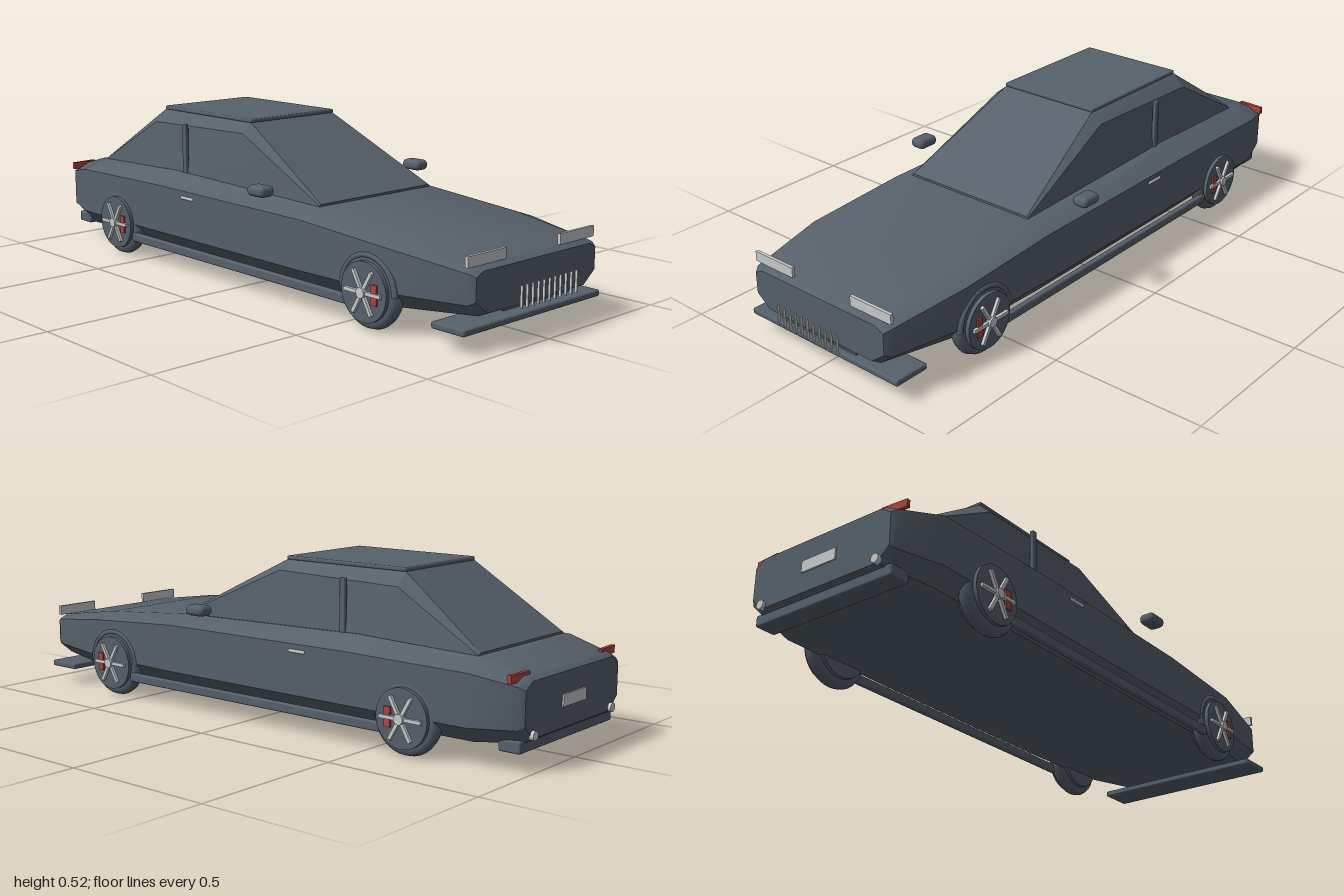
import * as THREE from 'three';
import { toCreasedNormals } from 'three/addons/utils/BufferGeometryUtils.js';
import { RoundedBoxGeometry } from 'three/addons/geometries/RoundedBoxGeometry.js';

const material = (name, color) => {
  const m = new THREE.MeshStandardMaterial({ color });
  m.name = name;
  return m;
};

// Skin along x through mirrored half sections; each section is [x, [y, z], ...] from top to bottom.
function loft(sections, crease) {
  const pos = [], idx = [];
  const n = (sections[0].length - 1) * 2;
  for (const [x, ...half] of sections) {
    for (const [y, z] of half) pos.push(x, y, z);
    for (const [y, z] of half.slice().reverse()) pos.push(x, y, -z);
  }
  const last = (sections.length - 1) * n;
  for (let i = 0; i < last; i += n) {
    for (let j = 0; j < n; j++) {
      const k = (j + 1) % n;
      idx.push(i + j, i + k, i + n + j, i + k, i + n + k, i + n + j);
    }
  }
  for (let j = 1; j < n - 1; j++) {
    idx.push(0, j + 1, j, last, last + j, last + j + 1);
  }
  const g = new THREE.BufferGeometry();
  g.setAttribute('position', new THREE.Float32BufferAttribute(pos, 3));
  g.setIndex(idx);
  return toCreasedNormals(g, crease);
}

export function createModel() {
  const car = new THREE.Group();
  car.name = 'car';
  const paint = material('slate paint', 0x56616b);
  const silver = material('silver', 0xc9cccd);
  const red = material('red', 0xb0443a);

  const add = (name, geometry, mat, x = 0, y = 0, z = 0, parent = car) => {
    const m = new THREE.Mesh(geometry, mat);
    m.name = name;
    m.position.set(x, y, z);
    parent.add(m);
    return m;
  };
  const box = (w, h, d) => new THREE.BoxGeometry(w, h, d);

  // Lower body
  // x, top y, top half width, shoulder y, widest half width, low y, bottom y, bottom half width
  const bodyRows = [
    [-0.99, 0.262, 0.225, 0.24, 0.262, 0.14, 0.1, 0.22],
    [-0.975, 0.272, 0.23, 0.25, 0.275, 0.13, 0.09, 0.235],
    [-0.84, 0.31, 0.24, 0.278, 0.32, 0.125, 0.077, 0.275],
    [-0.4, 0.325, 0.25, 0.285, 0.323, 0.125, 0.077, 0.28],
    [0.32, 0.309, 0.25, 0.28, 0.321, 0.125, 0.077, 0.28],
    [0.68, 0.28, 0.25, 0.258, 0.318, 0.13, 0.082, 0.275],
    [0.935, 0.243, 0.245, 0.228, 0.278, 0.14, 0.102, 0.23],
    [0.955, 0.233, 0.235, 0.218, 0.265, 0.15, 0.112, 0.215],
  ];
  add('body', loft(bodyRows.map(([x, ty, tz, sy, w, ly, by, bz]) =>
    [x, [ty, tz], [sy, w], [ly, w], [by, bz]]), 0.45), paint);

  // Cabin and roof panel
  add('cabin', loft([
    [-0.82, [0.318, 0.225], [0.312, 0.235], [0.295, 0.238]],
    [-0.53, [0.515, 0.18], [0.475, 0.222], [0.295, 0.245]],
    [-0.07, [0.515, 0.18], [0.485, 0.218], [0.295, 0.245]],
    [0.32, [0.316, 0.238], [0.312, 0.243], [0.29, 0.245]],
  ], 0.3), paint);
  add('roofPanel', new RoundedBoxGeometry(0.46, 0.013, 0.366, 2, 0.005), paint, -0.3, 0.521, 0);

  // Bumper plates
  add('frontSplitter', new RoundedBoxGeometry(0.12, 0.02, 0.61, 2, 0.006), paint, 0.89, 0.07, 0);
  add('rearBumper', new RoundedBoxGeometry(0.07, 0.036, 0.52, 2, 0.006), paint, -0.94, 0.078, 0);
  add('lowerIntake', box(0.008, 0.006, 0.31), paint, 0.955, 0.109, 0);

  // Grille bars standing ahead of the nose
  for (let i = -5; i <= 5; i++) {
    add('grilleBar', box(0.008, 0.065, 0.004), silver, 0.996, 0.148, i * 0.0245);
  }
  add('rearPlate', box(0.008, 0.036, 0.13), silver, -0.991, 0.18, 0);

  // Parts mirrored on both sides
  for (const s of [1, -1]) {
    add('headlight', box(0.01, 0.032, 0.16), silver, 0.932, 0.26, s * 0.2);
    const tail = add('tailLight', box(0.012, 0.024, 0.09), red, -0.958, 0.272, s * 0.247);
    tail.rotation.y = s * 0.06;
    const pipe = add('exhaust', new THREE.CylinderGeometry(0.014, 0.014, 0.04, 16), silver, -0.98, 0.11, s * 0.22);
    pipe.rotation.z = Math.PI / 2;
    add('mirror', new RoundedBoxGeometry(0.075, 0.034, 0.055, 4, 0.015), paint, 0.163, 0.349, s * 0.342);
    add('doorPillar', new RoundedBoxGeometry(0.02, 0.17, 0.014, 2, 0.004), paint, -0.343, 0.403, s * 0.24);
    add('doorHandle', new RoundedBoxGeometry(0.065, 0.01, 0.01, 2, 0.004), silver, -0.23, 0.262, s * 0.322);
    add('sideSill', new RoundedBoxGeometry(1.06, 0.03, 0.02, 2, 0.006), paint, -0.015, 0.08, s * 0.317);
    add('frontArch', new THREE.TorusGeometry(0.105, 0.01, 8, 28, Math.PI), paint, 0.6, 0.12, s * 0.314);

    // Wheels, built facing +z and turned round for the other side
    for (const x of [-0.63, 0.6]) {
      const wheel = new THREE.Group();
      wheel.name = 'wheel';
      wheel.position.set(x, 0.12, s * 0.298);
      if (s < 0) wheel.rotation.y = Math.PI;
      car.add(wheel);
      add('tyre', new THREE.TorusGeometry(0.09, 0.025, 10, 32), paint, 0, 0, 0, wheel);
      add('wheelDisc', new THREE.CylinderGeometry(0.09, 0.09, 0.073, 32), paint, 0, 0, 0, wheel).rotation.x = Math.PI / 2;
      for (let i = 0; i < 3; i++) {
        add('spokes', box(0.146, 0.011, 0.012), silver, 0, 0, 0.04, wheel).rotation.z = i * Math.PI / 3;
      }
      add('hub', new THREE.CylinderGeometry(0.016, 0.016, 0.02, 16), silver, 0, 0, 0.042, wheel).rotation.x = Math.PI / 2;
      add('brakeCaliper', box(0.022, 0.06, 0.014), red, s * 0.046, 0, 0.035, wheel);
    }
  }
  return car;
}
